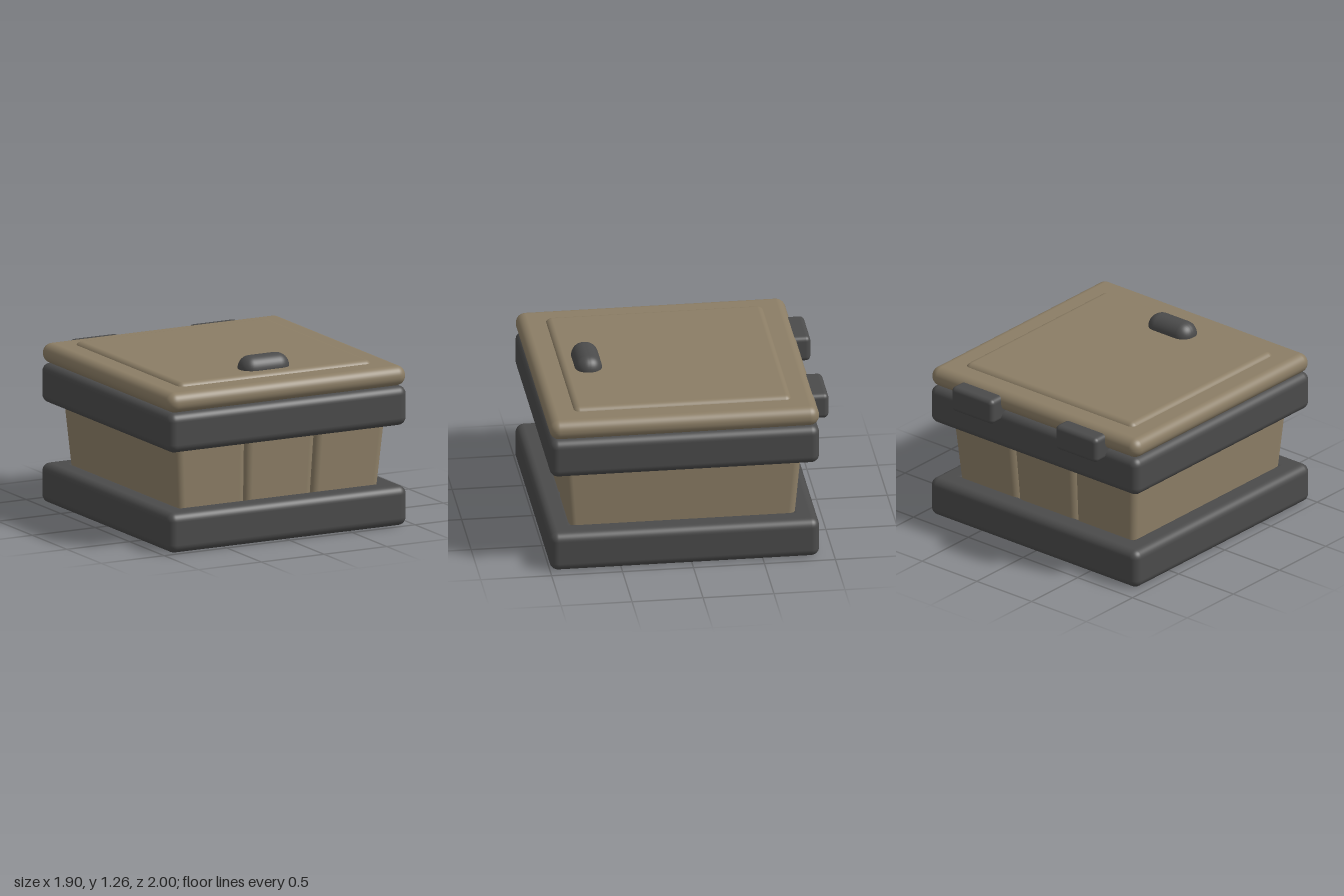
import * as THREE from 'three';
import { RoundedBoxGeometry } from 'three/addons/geometries/RoundedBoxGeometry.js';

const TAN = new THREE.MeshStandardMaterial({ color: 0x8b7d65 });
const DARK = new THREE.MeshStandardMaterial({ color: 0x4b4b4b });

// Rounded box given by its extents on each axis
function block(name, material, [x0, x1], [y0, y1], [z0, z1], radius) {
  const geo = new RoundedBoxGeometry(x1 - x0, y1 - y0, z1 - z0, 5, radius);
  geo.translate((x0 + x1) / 2, (y0 + y1) / 2, (z0 + z1) / 2);
  const mesh = new THREE.Mesh(geo, material);
  mesh.name = name;
  return mesh;
}

// Square rim made of four overlapping rounded bars
function rim(name, y0, y1) {
  const group = new THREE.Group();
  group.name = name;
  const outer = 0.95, inner = 0.75, r = 0.06;
  for (const s of [-1, 1]) {
    const span = s < 0 ? [-outer, -inner] : [inner, outer];
    group.add(block('sideBar', DARK, span, [y0, y1], [-outer, outer], r));
    group.add(block('crossBar', DARK, [-outer, outer], [y0, y1], span, r));
  }
  return group;
}

export function createModel() {
  const model = new THREE.Group();
  model.name = 'crate';

  // Everything is centred on the box body, which sits forward of the hinges
  const box = new THREE.Group();
  box.name = 'box';
  box.position.z = 0.05;
  model.add(box);

  box.add(rim('bottomRim', 0, 0.285), rim('topRim', 0.717, 1));

  // Body: three thick planks side by side, flaring out towards the top
  const half = 0.775, flare = 0.082;
  for (let i = -1; i <= 1; i++) {
    const x = (i * 2 * half) / 3;
    const plank = block('bodyPlank', TAN, [x - half / 3, x + half / 3], [0.002, 1.02], [-half, half], 0.05);
    const p = plank.geometry.attributes.position;
    for (let v = 0; v < p.count; v++) {
      const k = 1 + (flare / half) * p.getY(v);
      p.setX(v, p.getX(v) * k);
      p.setZ(v, p.getZ(v) * k);
    }
    box.add(plank);
  }

  // Lid with a raised panel and a rounded grip near the front
  box.add(block('lid', TAN, [-0.95, 0.95], [1, 1.143], [-0.95, 0.95], 0.07));
  box.add(block('lidPanel', TAN, [-0.775, 0.775], [1.065, 1.167], [-0.78, 0.765], 0.05));
  box.add(block('lidGrip', DARK, [-0.19, 0.19], [1.07, 1.26], [0.475, 0.665], 0.09));

  // Hinges at the back
  for (const s of [-1, 1]) {
    const x = s * 0.475;
    box.add(block('hinge', DARK, [x - 0.19, x + 0.19], [0.93, 1.117], [-1.05, -0.87], 0.035));
  }
  return model;
}
